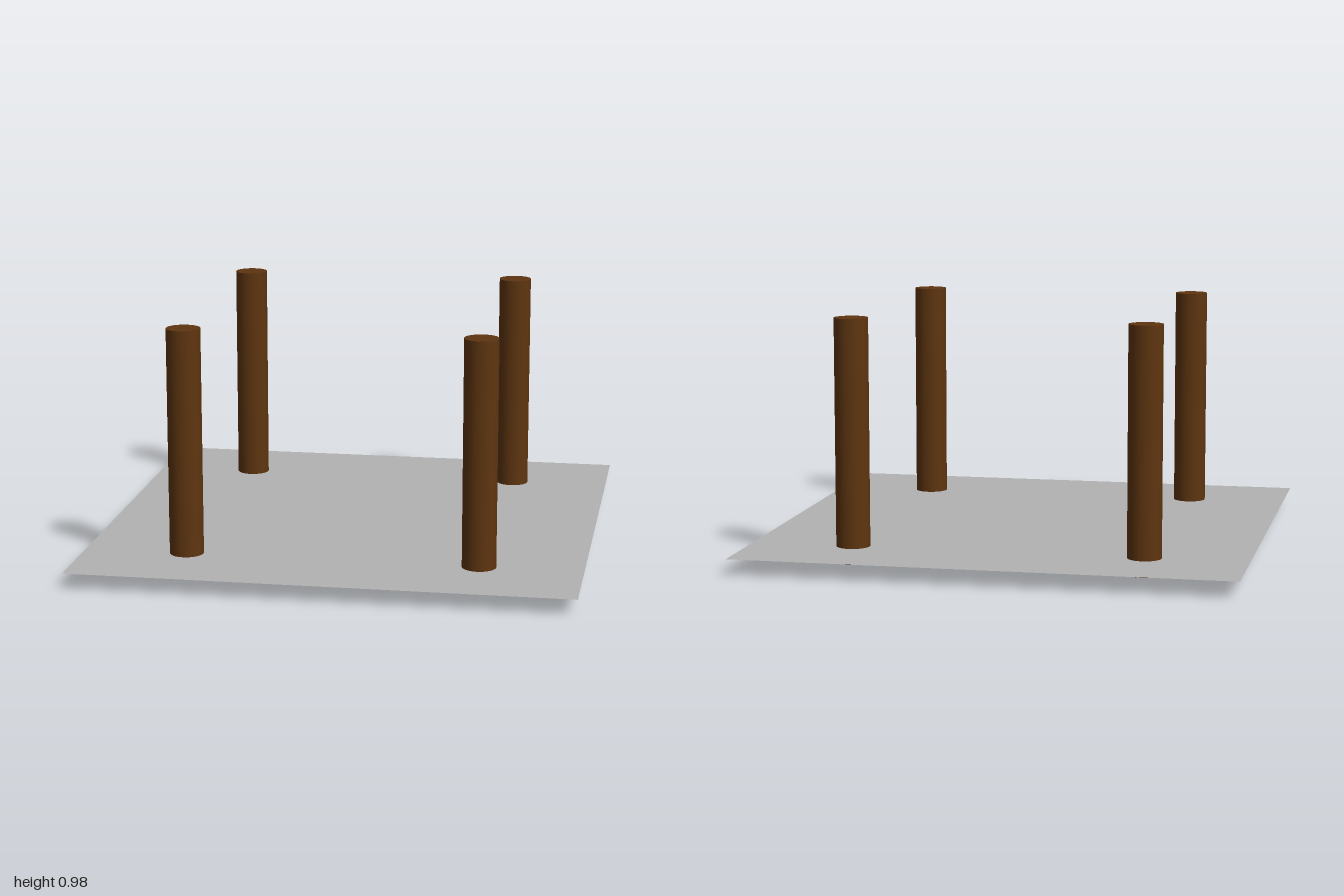
import * as THREE from 'three';

export function createModel() {
  const model = new THREE.Group();

  const wood = new THREE.MeshStandardMaterial({ color: 0x5e3510 });
  wood.name = 'brown wood';
  const grey = new THREE.MeshStandardMaterial({ color: 0xb2b2b2, side: THREE.DoubleSide });
  grey.name = 'grey sheet';

  // Thin square sheet, just above the post feet
  const sheet = new THREE.Mesh(new THREE.PlaneGeometry(2, 2).rotateX(-Math.PI / 2), grey);
  sheet.name = 'sheet';
  sheet.position.y = 0.065;
  model.add(sheet);

  // Four round posts passing through the sheet
  const height = 0.98;
  const postGeometry = new THREE.CylinderGeometry(0.068, 0.068, height, 32);
  for (const [side, x] of [['Left', 0.587], ['Right', -0.587]]) {
    for (const [end, z] of [['front', 0.647], ['back', -0.647]]) {
      const post = new THREE.Mesh(postGeometry, wood);
      post.name = `${end}${side}Post`;
      post.position.set(x, height / 2, z);
      model.add(post);
    }
  }

  return model;
}
